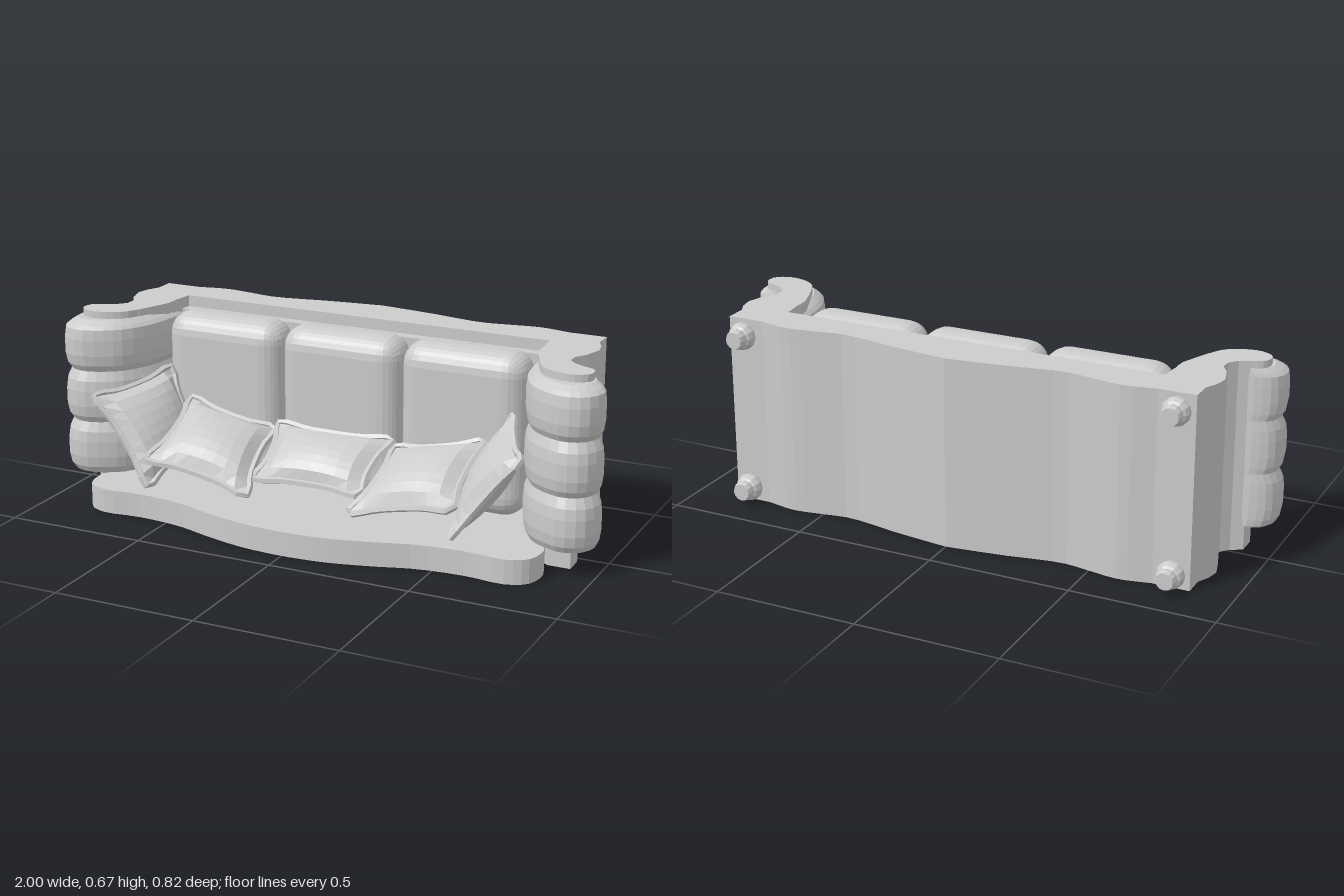
import * as THREE from 'three';
import { RoundedBoxGeometry } from 'three/addons/geometries/RoundedBoxGeometry.js';

const mat = new THREE.MeshStandardMaterial({ color: 0xcccccc, flatShading: true, side: THREE.DoubleSide });

export function createModel() {
  const root = new THREE.Group();
  const add = (name, geo, parent = root) => {
    const m = new THREE.Mesh(geo, mat);
    m.name = name;
    parent.add(m);
    return m;
  };

  // Plan outline of [x, z] points raised from y0 to y1
  const slab = (pts, y0, y1) => {
    const shape = new THREE.Shape(pts.map(([x, z]) => new THREE.Vector2(x, -z)));
    const g = new THREE.ExtrudeGeometry(shape, { depth: y1 - y0, bevelEnabled: false });
    return g.rotateX(-Math.PI / 2).translate(0, y0, 0);
  };
  const flip = (pts, s) => pts.map(([x, z]) => [x * s, z]);
  const both = half => [...half, ...flip(half, -1).reverse()];
  const smooth = (pts, n, closed = false) =>
    new THREE.CatmullRomCurve3(pts.map(([x, z]) => new THREE.Vector3(x, 0, z)), closed)
      .getPoints(n).slice(0, closed ? n : n + 1).map(p => [p.x, p.z]);

  // Closed loft of a plan outline; each level is [y, scale about the pivot]
  const loft = (outline, levels, [px, pz]) => {
    const n = outline.length, pos = [], idx = [];
    for (const [y, k] of levels)
      for (const [x, z] of outline) pos.push(px + (x - px) * k, y, pz + (z - pz) * k);
    for (let r = 0; r < levels.length - 1; r++)
      for (let i = 0; i < n; i++) {
        const a = r * n + i, b = r * n + (i + 1) % n;
        idx.push(a, a + n, b, b, a + n, b + n);
      }
    const bottom = pos.length / 3, last = (levels.length - 1) * n;
    pos.push(px, levels[0][0], pz, px, levels.at(-1)[0], pz);
    for (let i = 0; i < n; i++) {
      const j = (i + 1) % n;
      idx.push(bottom, i, j, bottom + 1, last + j, last + i);
    }
    return build(pos, idx);
  };
  const build = (pos, idx) => {
    const g = new THREE.BufferGeometry();
    g.setAttribute('position', new THREE.Float32BufferAttribute(pos, 3));
    g.setIndex(idx);
    g.computeVertexNormals();
    return g;
  };

  // Seat frame with a wavy apron
  const apron = smooth([[0.72, -0.335], [0.61, -0.355], [0.5, -0.34], [0.4, -0.327],
    [0.2, -0.36], [0, -0.385]], 14);
  const rail = [[0.71, -0.21], [0.72, -0.335], ...apron.slice(1, -1), [0, -0.385]];
  add('seatFrame', slab([...rail, ...flip(rail.slice(0, -1), -1).reverse()], 0.005, 0.675));
  add('seatDeck', new THREE.BoxGeometry(1.4, 0.63, 0.06).translate(0, 0.32, -0.2));

  // Back panel with a serpentine crest
  const crest = smooth([[0.78, -0.2], [0.79, 0], [0.81, 0.1], [0.84, 0.2], [0.82, 0.28],
    [0.75, 0.315], [0.62, 0.305], [0.45, 0.32], [0.3, 0.365], [0.15, 0.4], [0.03, 0.41]], 28);
  add('backPanel', slab(both(crest), 0.005, 0.09));

  // Scrolled arms, their rolled pads and front scrolls
  const armOutline = [[0.69, -0.23], [0.72, -0.335], [0.85, -0.335], [0.85, -0.26],
    [0.87, -0.22], [0.88, -0.17], [0.86, -0.1], [0.835, -0.06], [0.835, -0.02],
    [0.86, 0.01], [0.9, 0.03], [0.9, 0.1], [0.82, 0.1], [0.75, 0.04], [0.71, -0.06]];
  const scroll = smooth([[0.7, -0.12], [0.74, 0.01], [0.78, 0.09], [0.84, 0.125], [0.9, 0.13],
    [0.945, 0.1], [0.94, 0.05], [0.9, 0.03], [0.85, 0.02], [0.8, -0.03], [0.76, -0.15]], 30, true);
  const padOutline = smooth([[0.69, -0.17], [0.69, -0.03], [0.71, 0.05], [0.76, 0.14],
    [0.82, 0.185], [0.9, 0.213], [0.97, 0.185], [1.0, 0.11], [0.975, 0.05], [0.92, 0.026],
    [0.85, 0.022], [0.79, -0.04], [0.76, -0.17]], 30, true);
  const levels = [[0.09, 0.8]];
  for (let s = 0; s < 3; s++)
    for (const [t, k] of [[0.03, 0.88], [0.15, 0.96], [0.35, 1], [0.65, 1], [0.85, 0.97]])
      levels.push([0.09 + (s + t) * 0.187, k]);
  levels.push([0.635, 0.88], [0.65, 0.72]);
  for (const s of [1, -1]) {
    const arm = new THREE.Group();
    arm.name = s > 0 ? 'leftArm' : 'rightArm';
    root.add(arm);
    add('armBody', slab(flip(armOutline, s), 0.005, 0.675), arm);
    add('armScroll', slab(flip(scroll, s), 0.6, 0.675), arm);
    const ring = flip(padOutline, s);
    add('armPad', loft(s > 0 ? ring : ring.reverse(), levels, [0.85 * s, 0.035]), arm);
  }

  // Three seat cushions with softly crowned faces
  for (const x of [-1, 0, 1]) {
    const g = new RoundedBoxGeometry(0.45, 0.57, 0.18, 3, 0.075);
    const p = g.attributes.position;
    for (let i = 0; i < p.count; i++) {
      const k = Math.max(0, 1 - (p.getX(i) / 0.225) ** 2);
      p.setZ(i, p.getZ(i) * (0.94 + 0.06 * k));
    }
    g.computeVertexNormals();
    add('seatCushion', g.translate(x * 0.452, 0.375, -0.09));
  }

  // Throw pillow spanning four corners, with pinched sides and piping
  const pillow = (corners, thick) => {
    const [a, b, c, d] = corners.map(q => new THREE.Vector3(...q));
    const up = d.clone().sub(a).add(c).sub(b).cross(d.clone().sub(a).add(b).sub(c)).normalize();
    const at = (u, v) => {
      const s = (1 + u * (1 - 0.1 * (1 - v * v))) / 2, t = (1 + v * (1 - 0.1 * (1 - u * u))) / 2;
      return a.clone().lerp(b, s).lerp(c.clone().lerp(d, s), t);
    };
    const n = 8, pos = [], idx = [], w = n + 1;
    for (const side of [1, -1])
      for (let j = 0; j <= n; j++)
        for (let i = 0; i <= n; i++) {
          const u = 2 * i / n - 1, v = 2 * j / n - 1;
          const h = side * thick * Math.pow((1 - u * u) * (1 - v * v), 0.5);
          pos.push(...at(u, v).addScaledVector(up, h).toArray());
        }
    for (let j = 0; j < n; j++)
      for (let i = 0; i < n; i++) {
        const k = j * w + i, m = k + w * w;
        idx.push(k, k + w, k + 1, k + 1, k + w, k + w + 1);
        idx.push(m, m + 1, m + w, m + 1, m + w + 1, m + w);
      }
    const group = new THREE.Group();
    group.name = 'throwPillow';
    root.add(group);
    add('pillowBody', build(pos, idx), group);
    const edge = [];
    for (const [u, v, du, dv] of [[-1, -1, 1, 0], [1, -1, 0, 1], [1, 1, -1, 0], [-1, 1, 0, -1]])
      for (const t of [0, 0.6, 1.4]) edge.push(at(u + du * t, v + dv * t));
    add('pillowPiping', new THREE.TubeGeometry(new THREE.CatmullRomCurve3(edge, true), 40, 0.012, 5, true), group);
  };
  pillow([[-0.22, 0.32, 0], [0.22, 0.32, 0], [-0.2, 0.19, 0.23], [0.2, 0.19, 0.23]], 0.055);
  const sidePillows = [
    [[0.23, 0.3, 0.01], [0.56, 0.37, 0.01], [0.19, 0.15, 0.3], [0.57, 0.23, 0.32]],
    [[0.52, 0.2, 0.01], [0.65, 0.47, 0.0], [0.565, 0.13, 0.32], [0.79, 0.42, 0.295]],
  ];
  for (const q of sidePillows) {
    pillow(q, 0.06);
    const [a, b, c, d] = q.map(([x, y, z]) => [-x, y, z]);
    pillow([b, a, d, c], 0.06);
  }

  // Turned bun feet
  const footProfile = [[0, 0], [0.04, 0], [0.048, 0.012], [0.048, 0.026], [0.042, 0.04],
    [0.034, 0.046], [0.036, 0.06], [0.03, 0.075], [0, 0.075]].map(p => new THREE.Vector2(...p));
  for (const x of [-0.79, 0.79])
    for (const y of [0.058, 0.618])
      add('foot', new THREE.LatheGeometry(footProfile, 12).rotateX(-Math.PI / 2).translate(x, y, -0.335));

  return root;
}
